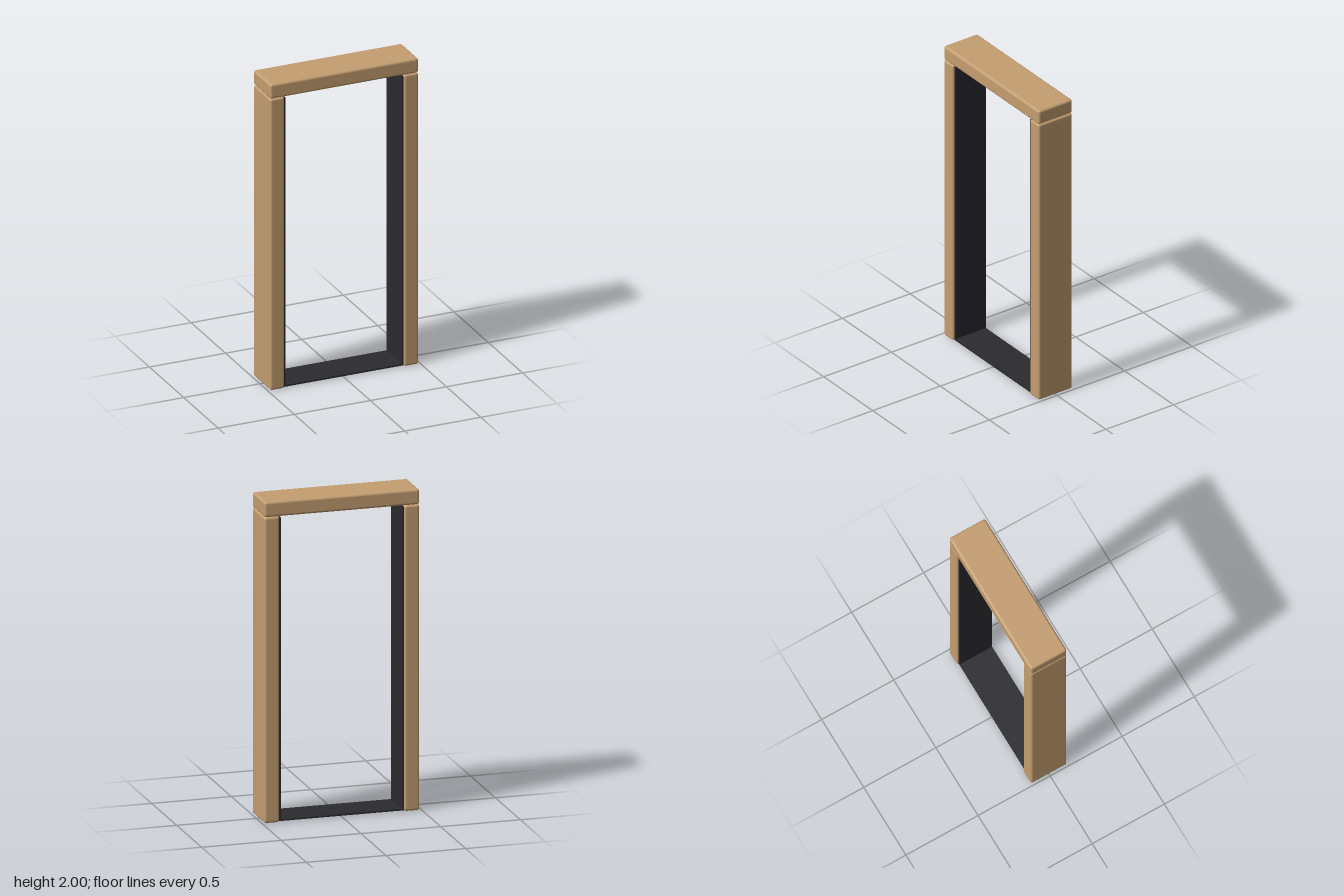
import * as THREE from 'three';
import { RoundedBoxGeometry } from 'three/addons/geometries/RoundedBoxGeometry.js';

const WIDTH = 0.974, HEIGHT = 2, DEPTH = 0.25;
const BEAM = 0.095; // thickness of posts and lintel
const RADIUS = 0.015; // rounded wood edges
const LINER = 0.01, LINER_DEPTH = 0.226;

export function createModel() {
  const group = new THREE.Group();
  group.name = 'doorFrame';
  const wood = new THREE.MeshStandardMaterial({ color: 0xc49e70 });
  const dark = new THREE.MeshStandardMaterial({ color: 0x2b2b2f });

  const add = (name, geometry, material, x, y) => {
    const mesh = new THREE.Mesh(geometry, material);
    mesh.name = name;
    mesh.position.set(x, y, 0);
    group.add(mesh);
  };

  const postHeight = HEIGHT - BEAM;
  const innerX = WIDTH / 2 - BEAM;

  // Lintel resting on the posts
  add('lintel', new RoundedBoxGeometry(WIDTH, BEAM, DEPTH, 4, RADIUS), wood, 0, HEIGHT - BEAM / 2);

  // Posts, each with a thin dark lining on its inner face
  for (const [label, side] of [['left', 1], ['right', -1]]) {
    add(label + 'Post', new RoundedBoxGeometry(BEAM, postHeight, DEPTH, 4, RADIUS), wood,
      side * (WIDTH / 2 - BEAM / 2), postHeight / 2);
    add(label + 'Lining', new THREE.BoxGeometry(LINER, postHeight - 0.015, LINER_DEPTH), dark,
      side * (innerX - LINER / 2), (postHeight - 0.005) / 2);
  }

  // Threshold strip between the posts
  add('threshold', new THREE.BoxGeometry(innerX * 2, LINER, LINER_DEPTH), dark, 0, 0.005 + LINER / 2);

  return group;
}
